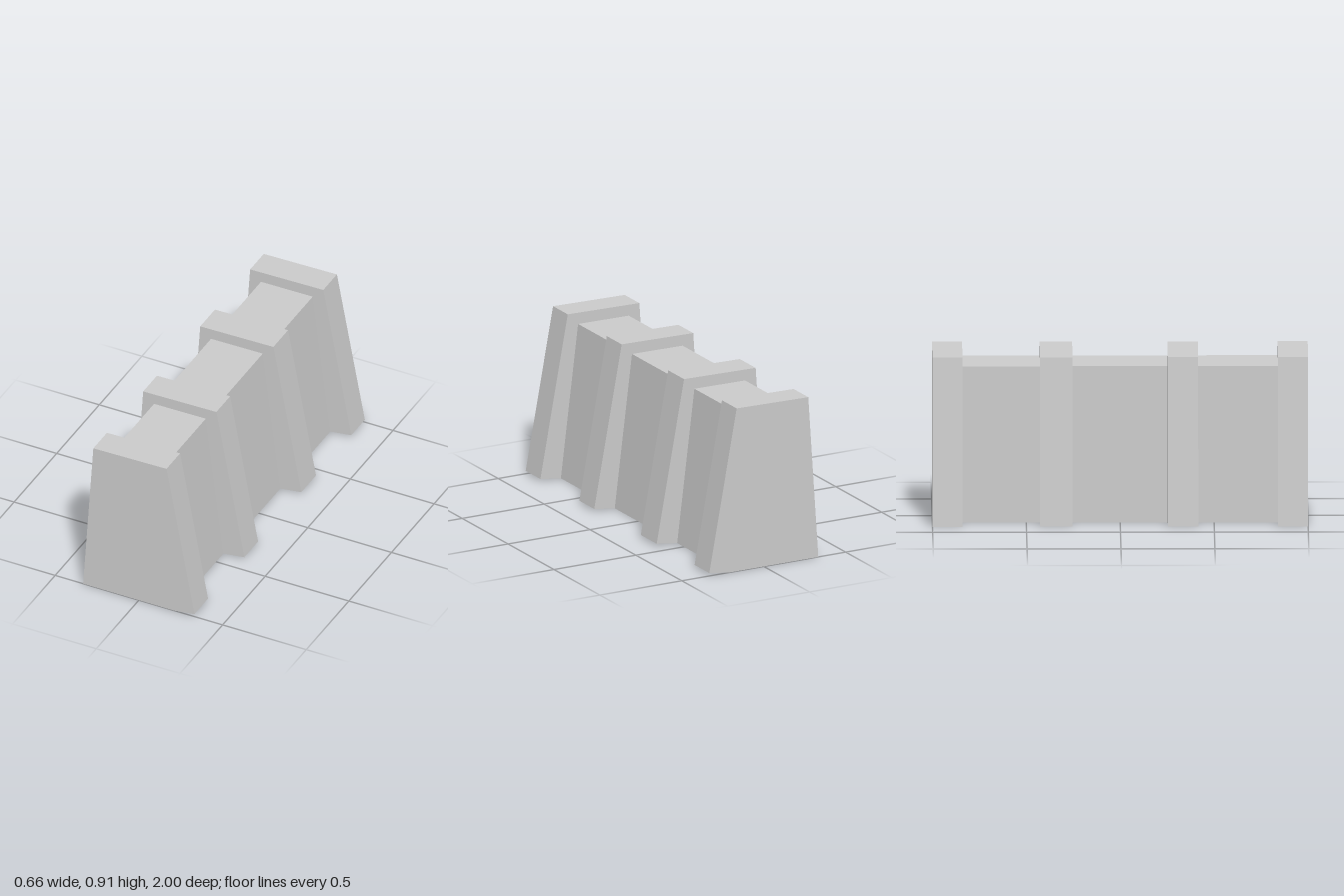
import * as THREE from 'three';

const material = new THREE.MeshStandardMaterial({ color: 0xcccccc, flatShading: true });

// Cross-sections in x, y
const buttressProfile = [[-0.333, 0], [0.21, 0], [0.332, 0.016], [0.165, 0.912], [-0.272, 0.905]];
const wallProfile = [[-0.212, 0], [0.207, 0], [0.102, 0.848], [-0.207, 0.845]];

// Solid of constant section between two z positions
function slab(name, profile, z0, z1) {
  const shape = new THREE.Shape(profile.map(([x, y]) => new THREE.Vector2(x, y)));
  const geometry = new THREE.ExtrudeGeometry(shape, { depth: z1 - z0, bevelEnabled: false });
  geometry.translate(0, 0, z0);
  const mesh = new THREE.Mesh(geometry, material);
  mesh.name = name;
  return mesh;
}

export function createModel() {
  const group = new THREE.Group();
  group.name = 'buttressedWall';

  // Four sloping buttresses along the wall
  const spans = [[-1, -0.84], [-0.427, -0.254], [0.253, 0.415], [0.84, 1]];
  spans.forEach(([z0, z1], i) => group.add(slab(`buttress${i + 1}`, buttressProfile, z0, z1)));

  // Lower, narrower wall filling each gap
  for (let i = 0; i < spans.length - 1; i++) {
    group.add(slab(`wallSection${i + 1}`, wallProfile, spans[i][1], spans[i + 1][0]));
  }
  return group;
}
